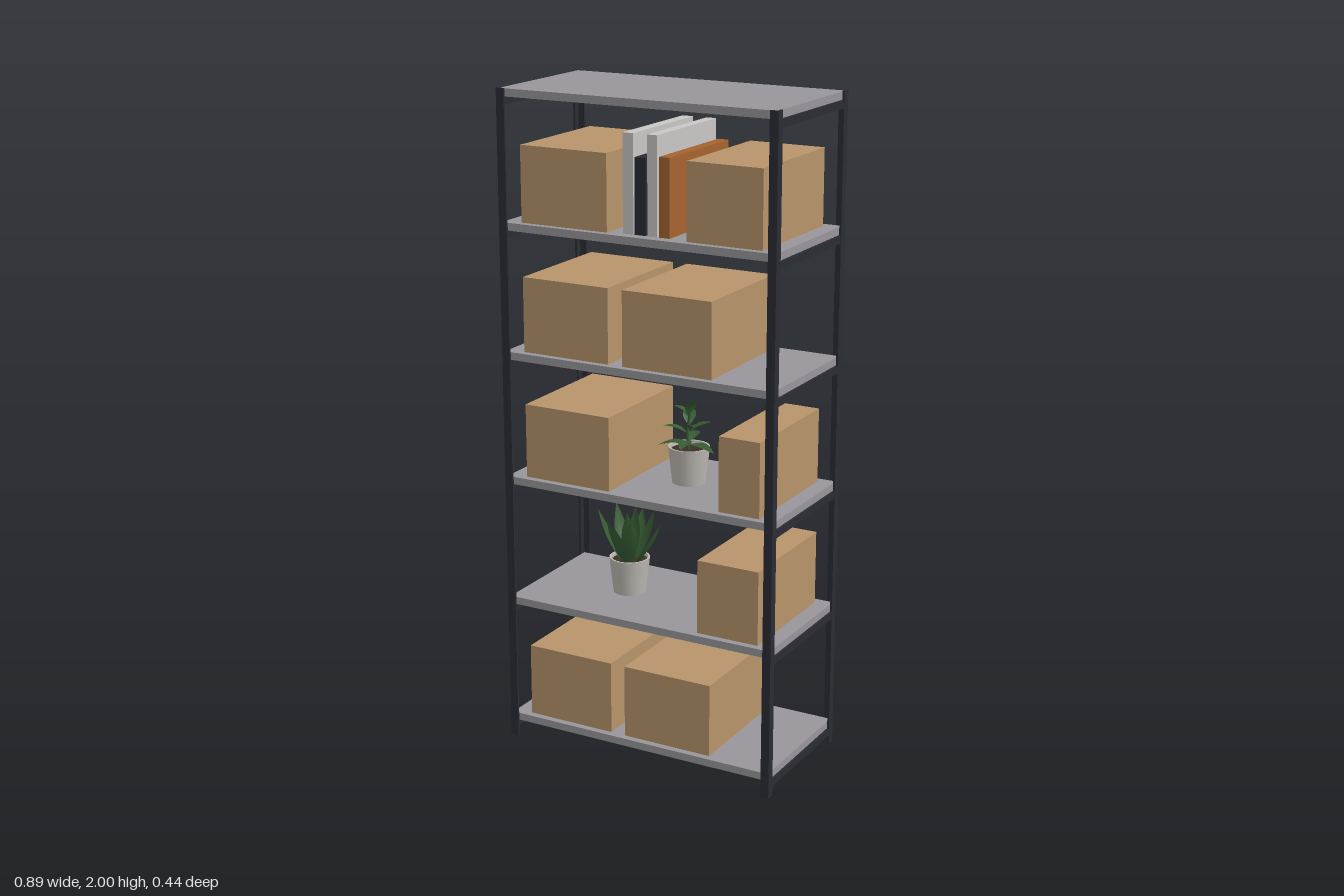
import * as THREE from 'three';

const V = (x, y, z) => new THREE.Vector3(x, y, z);

function material(name, color, side = THREE.FrontSide) {
  const m = new THREE.MeshStandardMaterial({ color, side });
  m.name = name;
  return m;
}

// Folded leaf between two points: rows of left edge, midrib, right edge
function leafGeometry(base, tip, width, bow, profile) {
  const dir = tip.clone().sub(base);
  const side = dir.clone().cross(V(0, 1, 0)).normalize();
  const normal = side.clone().cross(dir).normalize();
  const n = profile.length - 1;
  const pos = [], index = [];
  profile.forEach((w, i) => {
    const t = i / n;
    const mid = base.clone().addScaledVector(dir, t)
      .addScaledVector(normal, bow * Math.sin(Math.PI * t));
    for (const s of [-1, 0, 1]) {
      const p = mid.clone().addScaledVector(side, s * w * width / 2)
        .addScaledVector(normal, Math.abs(s) * w * width * 0.15);
      pos.push(p.x, p.y, p.z);
    }
    if (i < n) {
      for (const k of [0, 1]) {
        const a = i * 3 + k;
        index.push(a, a + 1, a + 3, a + 1, a + 4, a + 3);
      }
    }
  });
  const g = new THREE.BufferGeometry();
  g.setAttribute('position', new THREE.Float32BufferAttribute(pos, 3));
  g.setIndex(index);
  g.computeVertexNormals();
  return g;
}

export function createModel() {
  const root = new THREE.Group();
  root.name = 'shelvingUnit';

  const frame = material('frameMetal', 0x2b2c34);
  const steel = material('shelfMetal', 0x98969a);
  const card = material('cardboard', 0xb8946a);
  const pale = material('paleBinder', 0xc9c7c5);
  const rust = material('rustBinder', 0xa5632f);
  const ceramic = material('potCeramic', 0xbdb8b3, THREE.DoubleSide);
  const soil = material('soil', 0x3b2d22);
  const green = material('leafGreen', 0x365c33, THREE.DoubleSide);

  const add = (parent, name, geo, mat, x = 0, y = 0, z = 0) => {
    const m = new THREE.Mesh(geo, mat);
    m.name = name;
    m.position.set(x, y, z);
    parent.add(m);
    return m;
  };
  // Box given by its x, y and z limits
  const block = (parent, name, mat, x0, x1, y0, y1, z0, z1) =>
    add(parent, name, new THREE.BoxGeometry(x1 - x0, y1 - y0, z1 - z0), mat,
      (x0 + x1) / 2, (y0 + y1) / 2, (z0 + z1) / 2);

  // Angle-iron corner posts
  const X = 0.445, Z = 0.22, flange = 0.026, thick = 0.006;
  for (const sx of [-1, 1]) {
    for (const sz of [-1, 1]) {
      const pts = [[X, Z], [X - flange, Z], [X - flange, Z - thick],
        [X - thick, Z - thick], [X - thick, Z - flange], [X, Z - flange]];
      const shape = new THREE.Shape(pts.map(([x, z]) => new THREE.Vector2(x * sx, -z * sz)));
      const geo = new THREE.ExtrudeGeometry(shape, { depth: 2, bevelEnabled: false });
      geo.rotateX(-Math.PI / 2);
      add(root, 'cornerPost', geo, frame);
    }
  }

  // Shelves with a side rail beneath each end
  const levels = [0.075, 0.46, 0.845, 1.23, 1.615, 2.0];
  for (const y of levels) {
    block(root, 'shelf', steel, -0.439, 0.439, y - 0.024, y - 0.001, -0.214, 0.214);
    for (const s of [-1, 1]) {
      add(root, 'sideRail', new THREE.BoxGeometry(0.018, 0.023, 0.428), frame, s * 0.435, y - 0.037, 0);
    }
  }

  // Cardboard boxes: level, left x, right x
  const boxes = [
    [0, -0.385, -0.1], [0, -0.053, 0.235],
    [1, 0.193, 0.39],
    [2, -0.385, -0.1], [2, 0.26, 0.39],
    [3, -0.385, -0.1], [3, -0.053, 0.235],
    [4, -0.385, -0.1], [4, 0.155, 0.39],
  ];
  for (const [l, x0, x1] of boxes) {
    block(root, 'storageBox', card, x0, x1, levels[l] - 0.001, levels[l] + 0.224, -0.19, 0.193);
  }

  // Binders on the upper shelf
  const binders = [
    [-0.055, -0.021, 0.284, pale], [-0.017, 0.018, 0.218, frame],
    [0.024, 0.055, 0.284, pale], [0.061, 0.095, 0.225, rust],
  ];
  for (const [x0, x1, h, mat] of binders) {
    block(root, 'binder', mat, x0, x1, levels[4] - 0.001, levels[4] + h, -0.167, 0.18);
  }

  // Tapered pot with soil
  function pottedPlant(name, x, y) {
    const plant = new THREE.Group();
    plant.name = name;
    plant.position.set(x, y, 0);
    const outline = [[0, 0], [0.05, 0], [0.05, 0], [0.062, 0.111], [0.062, 0.111],
      [0.056, 0.111], [0.056, 0.111], [0.054, 0.095]];
    add(plant, 'pot', new THREE.LatheGeometry(
      outline.map(([r, h]) => new THREE.Vector2(r, h)), 24), ceramic);
    add(plant, 'soil', new THREE.CylinderGeometry(0.0545, 0.0545, 0.004, 24), soil, 0, 0.098, 0);
    root.add(plant);
    return plant;
  }

  // Upright sword-leaved plant
  const sword = [0.5, 0.75, 0.95, 1, 0.8, 0.45, 0];
  const swordPlant = pottedPlant('swordLeafPlant', -0.145, levels[1]);
  const swordTips = [
    [-0.1, 0.255, 0.02], [-0.075, 0.257, -0.05], [-0.035, 0.25, 0.075], [0.01, 0.262, 0.03],
    [0.0, 0.262, -0.04], [0.04, 0.25, 0.06], [0.045, 0.245, -0.075], [0.112, 0.232, 0.01],
    [-0.01, 0.235, -0.1], [0.005, 0.235, 0.1],
  ];
  for (const [x, y, z] of swordTips) {
    add(swordPlant, 'leaf', leafGeometry(V(x * 0.28, 0.098, z * 0.28), V(x, y, z), 0.042, -0.008, sword), green);
  }

  // Stemmed plant with oval leaves
  const oval = [0.12, 0.6, 0.95, 1, 0.8, 0.45, 0];
  const ovalPlant = pottedPlant('ovalLeafPlant', 0.06, levels[2]);
  const stem = new THREE.CatmullRomCurve3([V(0, 0.095, 0), V(-0.004, 0.15, 0.003), V(0.003, 0.215, 0)]);
  add(ovalPlant, 'stem', new THREE.TubeGeometry(stem, 8, 0.004, 6), green);
  const ovalLeaves = [
    [0.115, -0.09, 0.108, 0.025], [0.115, 0.095, 0.106, 0.02],
    [0.125, 0.02, 0.125, 0.09], [0.125, -0.02, 0.13, -0.09],
    [0.145, -0.065, 0.175, 0.04], [0.15, 0.06, 0.185, -0.03],
    [0.165, 0.045, 0.19, 0.055], [0.175, -0.03, 0.215, -0.06],
    [0.195, -0.04, 0.235, 0.02], [0.205, 0.038, 0.262, 0.018],
  ];
  for (const [h, x, y, z] of ovalLeaves) {
    add(ovalPlant, 'leaf', leafGeometry(V(0, h, 0), V(x, y, z), 0.04, 0.006, oval), green);
  }

  return root;
}
